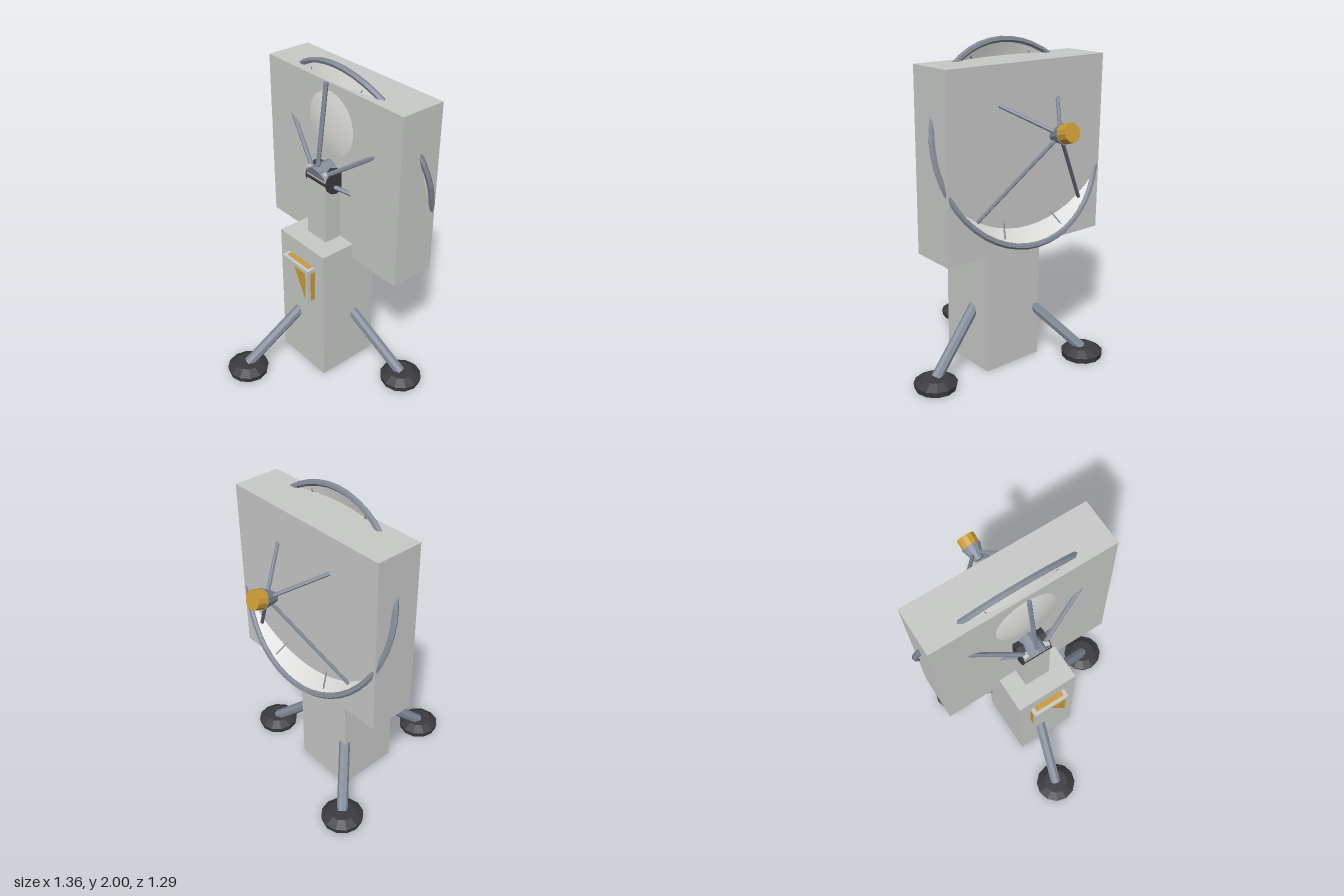
import * as THREE from 'three';

const mat = (name, color, opts = {}) => {
  const m = new THREE.MeshStandardMaterial({ color, ...opts });
  m.name = name;
  return m;
};

export function createModel() {
  const casing = mat('casing grey', 0xc8cac8);
  const shell = mat('dish white', 0xdfe0dd, { side: THREE.DoubleSide });
  const metal = mat('steel blue grey', 0x848c99, { flatShading: true });
  const dark = mat('dark rubber', 0x3c3b3f, { flatShading: true });
  const gold = mat('gold', 0xcb9c37, { flatShading: true });

  const model = new THREE.Group();
  model.name = 'dishAntenna';
  const CZ = -0.035; // depth of the mast axis

  const add = (parent, name, geo, material, x = 0, y = 0, z = 0) => {
    const m = new THREE.Mesh(geo, material);
    m.name = name;
    m.position.set(x, y, z);
    parent.add(m);
    return m;
  };
  // box given by its minimum and maximum corners
  const box = (name, a, b, material) => add(model, name,
    new THREE.BoxGeometry(b[0] - a[0], b[1] - a[1], b[2] - a[2]), material,
    (a[0] + b[0]) / 2, (a[1] + b[1]) / 2, (a[2] + b[2]) / 2);
  // straight round bar between two points
  const rod = (parent, name, a, b, r, material, sides = 6) => {
    const dir = b.clone().sub(a);
    const m = add(parent, name, new THREE.CylinderGeometry(r, r, dir.length(), sides), material);
    m.position.copy(a).add(b).multiplyScalar(0.5);
    m.quaternion.setFromUnitVectors(new THREE.Vector3(0, 1, 0), dir.normalize());
    return m;
  };
  // point at an angle and radius around the vertical axis
  const polar = (angle, r, y) => new THREE.Vector3(r * Math.cos(angle), y, r * Math.sin(angle));

  // Main blocks
  box('pedestal', [-0.203, 0, CZ - 0.203], [0.2, 0.92, CZ + 0.203], casing);
  box('column', [-0.085, 0.92, CZ - 0.085], [0.085, 1.38, CZ + 0.085], casing);
  box('slab', [0.028, 0.815, -0.602], [0.32, 1.89, 0.532], casing);

  // Elevation axle through the column
  const axle = add(model, 'axle', new THREE.CylinderGeometry(0.076, 0.076, 0.19, 12), dark, -0.012, 1.315, CZ);
  axle.rotation.x = Math.PI / 2;

  // Control box with inset gold panels
  box('controlBox', [-0.257, 0.555, -0.16], [-0.15, 0.8, 0.086], casing);
  const t = 0.003;
  for (const z of [-0.16, 0.086]) box('sidePanel', [-0.235, 0.575, z - t], [-0.17, 0.775, z + t], gold);
  for (const y of [0.555, 0.8]) box('endPanel', [-0.235, y - t, -0.135], [-0.17, y + t, 0.063], gold);
  const tri = new THREE.Shape([
    new THREE.Vector2(-0.04, 0.775), new THREE.Vector2(0.063, 0.575), new THREE.Vector2(0.063, 0.775),
  ]);
  const facePanel = add(model, 'facePanel', new THREE.ExtrudeGeometry(tri, { depth: 0.004, bevelEnabled: false }), gold, -0.255, 0, 0);
  facePanel.rotation.y = -Math.PI / 2;

  // Three splayed legs with round feet
  const legs = new THREE.Group();
  legs.name = 'legs';
  legs.position.z = CZ;
  model.add(legs);
  const footProfile = [[0, 0], [0.125, 0], [0.132, 0.035], [0.08, 0.068], [0, 0.068]]
    .map(([x, y]) => new THREE.Vector2(x, y));
  for (const deg of [75, 195, 315]) {
    const a = THREE.MathUtils.degToRad(deg);
    rod(legs, 'leg', polar(a, 0.565, 0.055), polar(a, 0.15, 0.42), 0.034, metal, 8);
    const p = polar(a, 0.57, 0);
    add(legs, 'foot', new THREE.LatheGeometry(footProfile, 12), dark, p.x, p.y, p.z);
  }

  // Dish assembly: local +y is the pointing axis, local -x is upward
  const dish = new THREE.Group();
  dish.name = 'dishAssembly';
  dish.position.set(0.24, 1.42, CZ);
  dish.rotation.z = -THREE.MathUtils.degToRad(72.6);
  model.add(dish);

  const R = 0.592, depth = 0.2;
  const bowl = [];
  for (let i = 0; i <= 10; i++) {
    const r = (R * i) / 10;
    bowl.push(new THREE.Vector2(r, depth * ((r / R) ** 2 - 1)));
  }
  add(dish, 'reflector', new THREE.LatheGeometry(bowl, 40), shell);
  const rim = add(dish, 'rim', new THREE.TorusGeometry(R, 0.018, 6, 48), metal);
  rim.rotation.x = Math.PI / 2;

  // Thin ribs inside the bowl
  for (let i = 0; i < 8; i++) {
    const a = ((i + 0.5) * Math.PI) / 4;
    rod(dish, 'rib', polar(a, 0.1, -0.185), polar(a, 0.56, -0.02), 0.005, metal, 4);
  }
  // Feed supports
  for (let i = 0; i < 4; i++) {
    const a = ((i + 0.5) * Math.PI) / 2;
    rod(dish, 'feedStrut', polar(a, 0.545, -0.015), polar(a, 0.025, 0.33), 0.011, metal);
  }
  // Hub and back braces
  add(dish, 'hub', new THREE.CylinderGeometry(0.055, 0.085, 0.15, 12), metal, 0, -0.26, 0);
  for (let i = 0; i < 6; i++) {
    const a = (i * Math.PI) / 3;
    rod(dish, 'backBrace', polar(a, 0.045, -0.315), polar(a, 0.535, -0.09), 0.014, metal);
  }
  // Feed horn and cap
  add(dish, 'feedHorn', new THREE.CylinderGeometry(0.06, 0.028, 0.09, 12), metal, 0, 0.335, 0);
  add(dish, 'feedCap', new THREE.CylinderGeometry(0.055, 0.055, 0.062, 12), gold, 0, 0.411, 0);

  return model;
}
